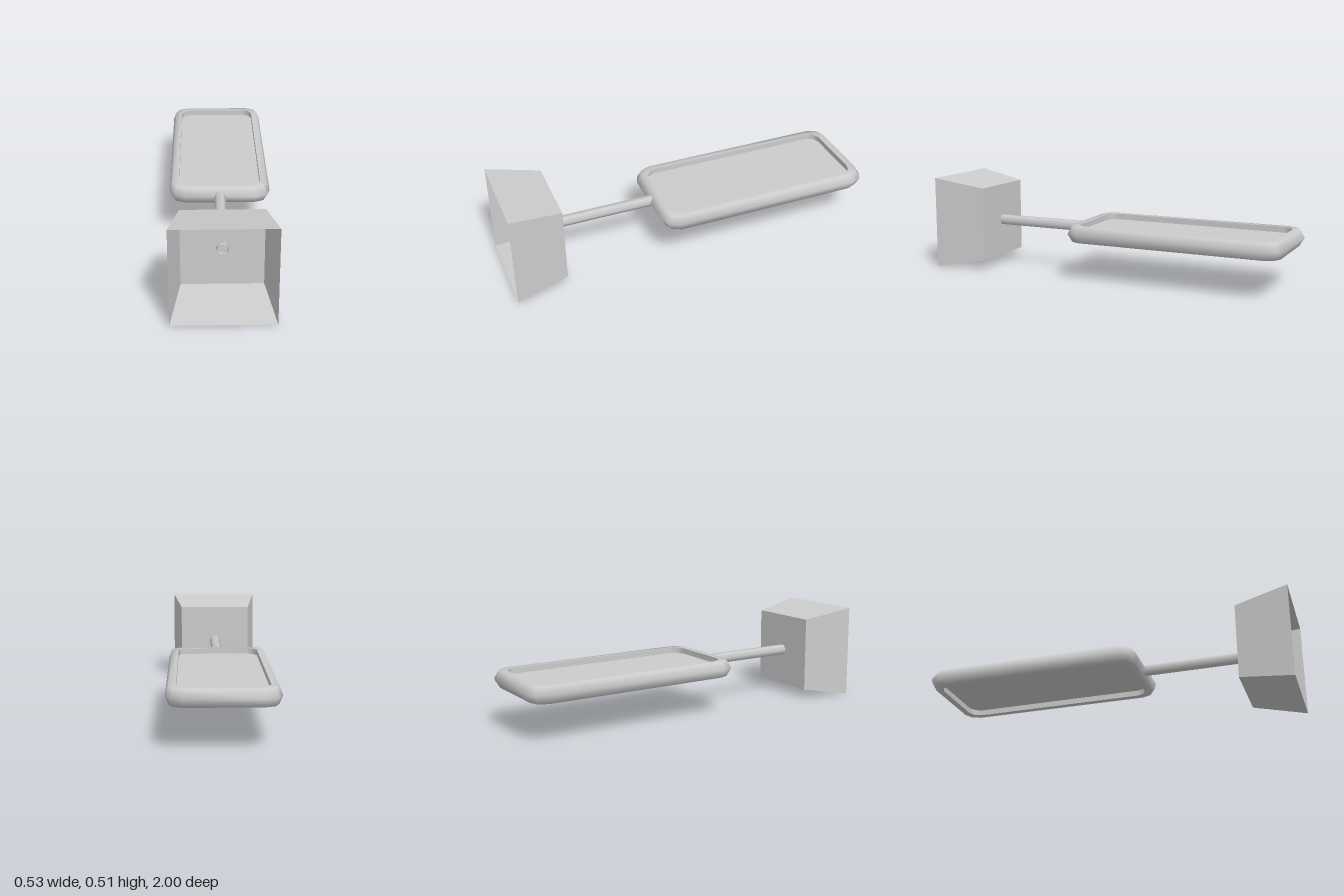
import * as THREE from 'three';

const CY = 0.253; // height of the shared axis
const ZC = -0.405; // centre of the framed panel

const gray = new THREE.MeshStandardMaterial({ color: 0xcccccc, side: THREE.DoubleSide });
gray.name = 'light gray';

function add(parent, name, geometry) {
  const mesh = new THREE.Mesh(geometry, gray);
  mesh.name = name;
  parent.add(mesh);
  return mesh;
}

// Rounded rectangle in the xz plane, three points per corner
function ring(hx, hz, r, y) {
  const pts = [];
  for (let c = 0; c < 4; c++) {
    const sx = c === 0 || c === 3 ? 1 : -1;
    const sz = c < 2 ? 1 : -1;
    for (let k = 0; k < 3; k++) {
      const a = (c + k / 2) * Math.PI / 2;
      pts.push([sx * (hx - r) + r * Math.cos(a), y, sz * (hz - r) + r * Math.sin(a)]);
    }
  }
  return pts;
}

// Smooth skin over successive rings
function loft(rings) {
  const n = rings[0].length;
  const index = [];
  for (let j = 0; j < rings.length - 1; j++) {
    for (let i = 0; i < n; i++) {
      const a = j * n + i, b = j * n + (i + 1) % n;
      index.push(a, a + n, b, b, a + n, b + n);
    }
  }
  const g = new THREE.BufferGeometry();
  g.setAttribute('position', new THREE.Float32BufferAttribute(rings.flat(2), 3));
  g.setIndex(index);
  g.computeVertexNormals();
  return g;
}

export function createModel() {
  const model = new THREE.Group();
  model.name = 'model';

  // Tapered mount, open at the front
  const mount = new THREE.Group();
  mount.name = 'mount';
  mount.position.set(0, CY, 0);
  model.add(mount);
  const walls = new THREE.CylinderGeometry(0.253 * Math.SQRT2, 0.204 * Math.SQRT2, 0.282, 4, 1, true)
    .rotateY(Math.PI / 4).rotateX(Math.PI / 2).toNonIndexed();
  walls.computeVertexNormals();
  add(mount, 'mountWalls', walls).position.z = 0.859;
  add(mount, 'mountBack', new THREE.PlaneGeometry(0.408, 0.408).rotateY(Math.PI)).position.z = 0.718;

  // Hollow six-sided arm
  const arm = new THREE.CylinderGeometry(0.03, 0.03, 0.58, 6, 1, true, Math.PI / 2).rotateX(Math.PI / 2);
  add(model, 'arm', arm).position.set(0, CY, 0.45);

  // Frame: rounded outer skin and straight inner wall
  const head = new THREE.Group();
  head.name = 'head';
  head.position.set(0, CY, ZC);
  model.add(head);
  const H = 0.043;
  add(head, 'frame', loft([
    ring(0.217, 0.534, 0.055, H),
    ring(0.252, 0.57, 0.07, H),
    ring(0.267, 0.595, 0.078, 0),
    ring(0.252, 0.57, 0.07, -H),
    ring(0.217, 0.534, 0.055, -H),
  ]));
  add(head, 'frameInnerWall', loft([ring(0.217, 0.534, 0.055, -H), ring(0.217, 0.534, 0.055, H)]));

  // Recessed panel
  const outline = new THREE.Shape(ring(0.218, 0.535, 0.055, 0).map(([x, , z]) => new THREE.Vector2(x, z)));
  const panel = new THREE.ExtrudeGeometry(outline, { depth: 0.024, bevelEnabled: false });
  panel.translate(0, 0, -0.012).rotateX(-Math.PI / 2);
  add(head, 'panel', panel);

  return model;
}
